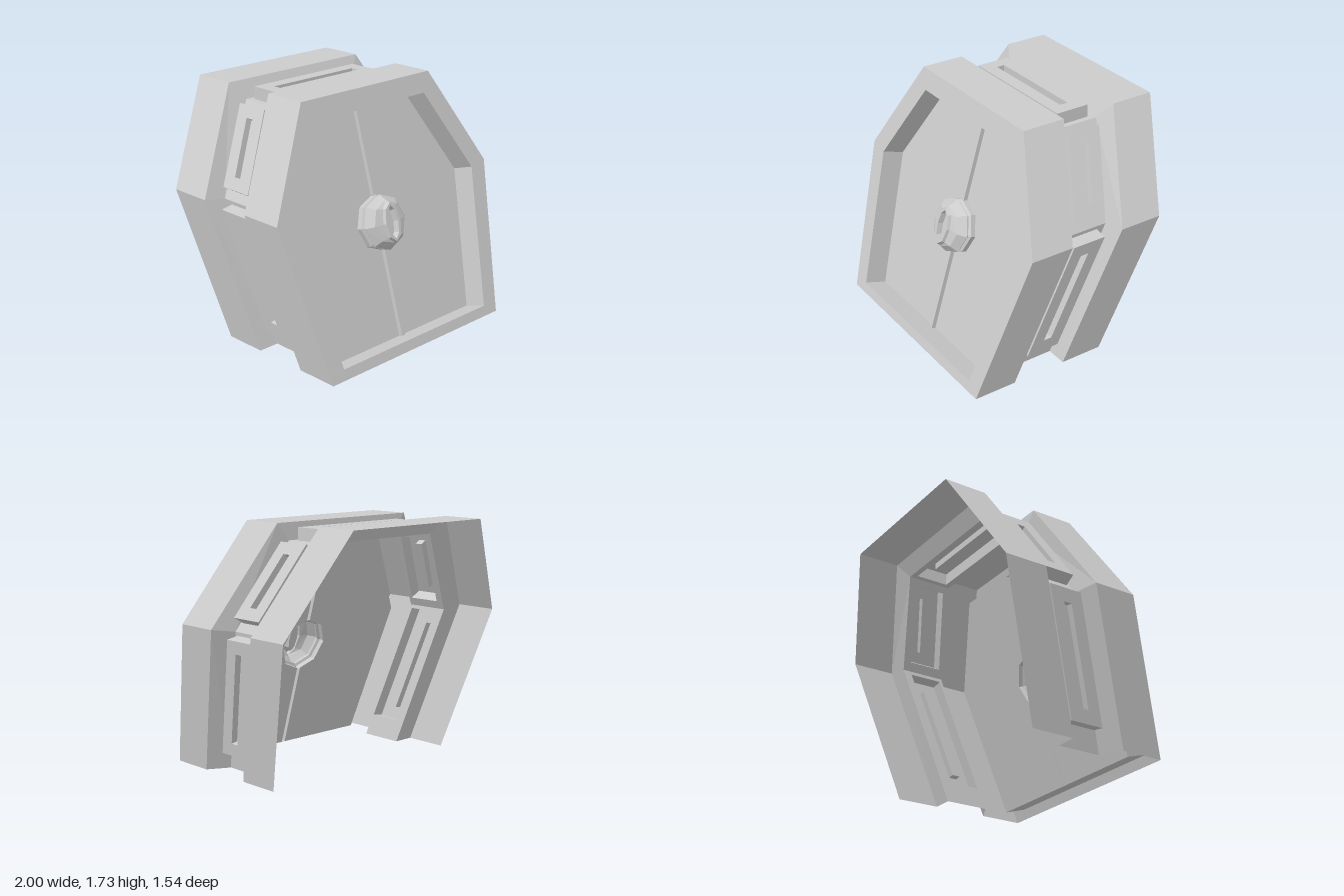
import * as THREE from 'three';

const LEAN = 0.3;                       // backward lean of the whole doorway
const TILT = Math.atan(LEAN);
const mat = new THREE.MeshStandardMaterial({ color: 0xcccccc, flatShading: true, side: THREE.DoubleSide });

function mesh(name, geometry, parent) {
  const m = new THREE.Mesh(geometry, mat);
  m.name = name;
  parent.add(m);
  return m;
}

// Skin a list of equal-length point loops; optionally close them and cap the last one
function loft(loops, { closed = true, cap = false } = {}) {
  const pos = [];
  const tri = (...pts) => pts.forEach((p) => pos.push(...p));
  const n = loops[0].length;
  for (let i = 0; i < loops.length - 1; i++) {
    for (let j = 0; j < (closed ? n : n - 1); j++) {
      const k = (j + 1) % n;
      const a = loops[i][j], b = loops[i][k], c = loops[i + 1][k], d = loops[i + 1][j];
      tri(a, b, c);
      tri(a, c, d);
    }
  }
  if (cap) {
    const last = loops[loops.length - 1];
    for (let j = 1; j < n - 1; j++) tri(last[0], last[j], last[j + 1]);
  }
  const g = new THREE.BufferGeometry();
  g.setAttribute('position', new THREE.Float32BufferAttribute(pos, 3));
  g.computeVertexNormals();
  return g;
}

// Right-hand half outline (bottom to top) mirrored to a full six-corner arch
const arch = (half) => [...half, ...half.map(([x, ...r]) => [-x, ...r]).reverse()];
const lean = (pts, z) => pts.map(([x, y]) => [x, y, z - LEAN * y]);

const OUTER = arch([[0.82, 0], [1, 1.045], [0.6, 1.73]]);
const INNER_HALF = [[0.705, 0.07], [0.855, 1.02], [0.517, 1.595]];
const INNER = arch(INNER_HALF);
// Groove floor corners: x, y, front depth, back depth
const FLOOR = arch([[0.668, 0, 0.38, 0.06], [0.844, 1.022, 0.395, 0.068], [0.505, 1.61, 0.42, 0.086]]);
const SINK = [0.05, 0.16];              // recess of the door, square to the leaning face

// One groove facet with a raised hollow panel and a sunk slot
function groovePanel(A, B, panel, slot) {
  const len = Math.hypot(B[0] - A[0], B[1] - A[1]);
  const nx = (B[1] - A[1]) / len, ny = -(B[0] - A[0]) / len;
  const rect = ([t0, t1], w, out) => [[t0, 1], [t0, -1], [t1, -1], [t1, 1]].map(([t, s]) => {
    const x = A[0] + (B[0] - A[0]) * t, y = A[1] + (B[1] - A[1]) * t;
    return [x + nx * out, y + ny * out, 0.25 - LEAN * y + s * w];
  });
  const at = (p, d) => [p[0], p[1], d - LEAN * p[1]];
  const border = [at(A, A[2]), at(A, A[3]), at(B, B[3]), at(B, B[2])];
  return loft([
    border,
    rect(panel, 0.123, 0),
    rect(panel, 0.123, 0.088),
    rect(slot, 0.03, 0.088),
    rect(slot, 0.03, 0.04),
  ], { cap: true });
}

export function createModel() {
  const root = new THREE.Group();
  root.name = 'doorway';

  // Outer rings with bevels down into the groove
  const floorFront = FLOOR.map(([x, y, f]) => [x, y, f - LEAN * y]);
  const floorBack = FLOOR.map(([x, y, , b]) => [x, y, b - LEAN * y]);
  mesh('backRing', loft([lean(OUTER, -0.25), lean(OUTER, 0.06), floorBack], { closed: false }), root);
  mesh('frontRing', loft([floorFront, lean(OUTER, 0.46), lean(OUTER, 0.77)], { closed: false }), root);

  // Front rim and the recess walls
  const rim = lean(INNER, 0.77);
  const sunk = rim.map(([x, y, z]) => [x, y - SINK[0], z - SINK[1]]);
  mesh('frontRim', loft([lean(OUTER, 0.77), rim, sunk]), root);

  // Five groove facets, mirrored left to right
  const flip = ([a, b]) => [1 - b, 1 - a];
  const lower = [[0.15, 0.975], [0.24, 0.885]];
  const upper = [[0.1, 0.93], [0.225, 0.805]];
  const top = [[0.04, 0.96], [0.135, 0.865]];
  const facets = [
    ['leftLowerPanel', lower], ['leftUpperPanel', upper], ['topPanel', top],
    ['rightUpperPanel', upper.map(flip)], ['rightLowerPanel', lower.map(flip)],
  ];
  facets.forEach(([name, [panel, slot]], i) =>
    mesh(name, groovePanel(FLOOR[i], FLOOR[i + 1], panel, slot), root));

  // Door, built upright and tilted back as one
  const door = new THREE.Group();
  door.name = 'door';
  door.position.z = 0.77 - SINK[1] - LEAN * SINK[0];
  door.rotation.x = -TILT;
  root.add(door);

  const S = 0.014, R = 0.195, CY = 0.825;   // seam half width, knob radius and height
  const corners = INNER_HALF.map(([x, y]) => [x, (y - SINK[0]) / Math.cos(TILT)]);
  const bottom = corners[0][1], topY = corners[2][1];

  // Door leaves with a cut-out for the hollow knob
  const cut = [1, 0, -1].map((k) => [R * Math.cos(k * Math.PI / 4), CY + R * Math.sin(k * Math.PI / 4)]);
  const edge = R - S * Math.tan(Math.PI / 8);
  const leaf = [[S, bottom], ...corners, [S, topY], [S, CY + edge], ...cut, [S, CY - edge]];
  for (const [name, s] of [['leftLeaf', 1], ['rightLeaf', -1]]) {
    const shape = new THREE.Shape(leaf.map(([x, y]) => new THREE.Vector2(s * x, y)));
    mesh(name, new THREE.ShapeGeometry(shape), door);
  }

  // Raised seam strip above and below the knob
  const strip = (y) => [[-S, y, 0], [-S, y, 0.03], [S, y, 0.03], [S, y, 0]];
  mesh('lowerSeam', loft([strip(bottom), strip(CY - edge)], { closed: false }), door);
  mesh('upperSeam', loft([strip(CY + edge), strip(topY)], { closed: false }), door);

  // Eight-sided knob: waisted rim, domed face, oval ring with a sunk centre
  const ring = ([rx, ry, z]) => Array.from({ length: 8 }, (_, i) => {
    const a = i * Math.PI / 4;
    return [rx * Math.cos(a), CY + ry * Math.sin(a), z];
  });
  const profile = [
    [R, R, 0], [R, R, 0.035], [0.175, 0.175, 0.045], [0.175, 0.175, 0.06], [R, R, 0.07],
    [0.145, 0.155, 0.12], [0.078, 0.145, 0.135], [0.07, 0.135, 0.155], [0.045, 0.115, 0.155], [0.038, 0.105, 0.115],
  ];
  mesh('knob', loft(profile.map(ring), { cap: true }), door);

  return root;
}
